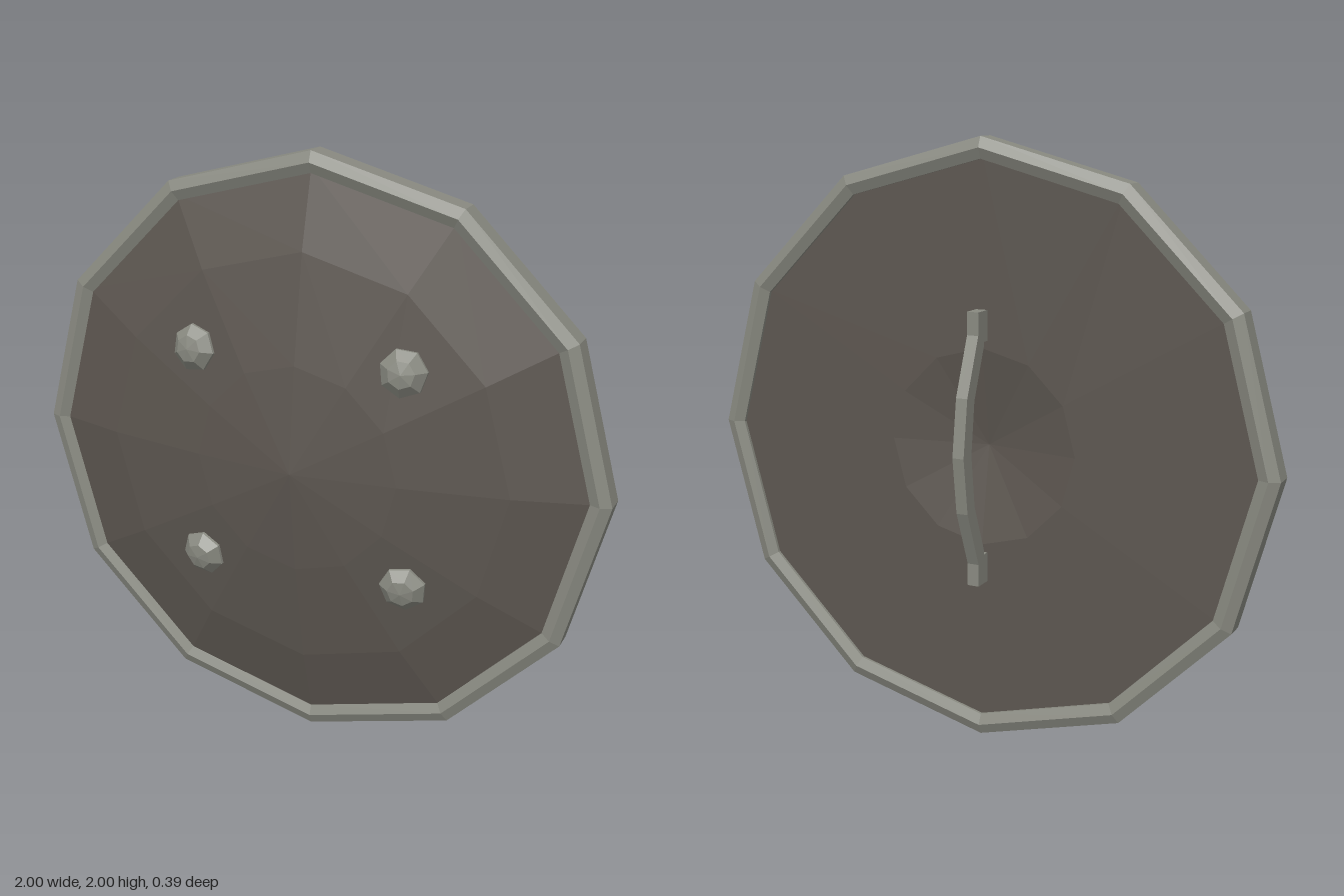
import * as THREE from 'three';

const wood = new THREE.MeshStandardMaterial({ color: 0x5c5650 });
wood.name = 'darkWood';
const metal = new THREE.MeshStandardMaterial({ color: 0x888980 });
metal.name = 'greyMetal';

// Faceted copy of a geometry
function faceted(geometry) {
  const flat = geometry.index ? geometry.toNonIndexed() : geometry;
  flat.computeVertexNormals();
  return flat;
}

// Revolve [radius, z] points around the z axis
function turned(points, sides) {
  const profile = points.map(([r, z]) => new THREE.Vector2(r, z));
  return faceted(new THREE.LatheGeometry(profile, sides).rotateX(Math.PI / 2));
}

function addMesh(parent, name, geometry, material) {
  const mesh = new THREE.Mesh(geometry, material);
  mesh.name = name;
  parent.add(mesh);
  return mesh;
}

export function createModel() {
  const shield = new THREE.Group();
  shield.name = 'shield';
  shield.position.y = 1;

  // Domed board with a shallow dent behind the hand grip
  addMesh(shield, 'board', turned([
    [0, 0.03], [0.33, -0.025], [0.95, -0.025], [0.95, 0.03],
    [0.7, 0.1], [0.35, 0.16], [0, 0.2],
  ], 12), wood);

  // Bevelled metal rim
  addMesh(shield, 'rim', turned([
    [0.93, -0.035], [0.965, -0.05], [1, -0.035], [1, 0.035],
    [0.965, 0.05], [0.93, 0.035], [0.93, -0.035],
  ], 12), metal);

  // Four studs, turned a quarter each and tilted to the dome
  const studGeometry = turned([[0.08, -0.015], [0.078, 0.005], [0.045, 0.034], [0, 0.042]], 7);
  for (let i = 0; i < 4; i++) {
    const arm = new THREE.Group();
    arm.name = 'studArm' + (i + 1);
    arm.rotation.z = Math.PI / 4 + 0.02 + i * Math.PI / 2;
    const stud = addMesh(arm, 'stud' + (i + 1), studGeometry, metal);
    stud.position.set(0.512, 0, 0.133);
    stud.rotation.y = 0.17;
    shield.add(arm);
  }

  // Bowed grip: side outline in (z, y), mirrored top to bottom
  const outer = [[-0.09, 0.455], [-0.09, 0.38], [-0.168, 0.19], [-0.195, 0]];
  const inner = [[-0.14, 0], [-0.118, 0.175], [-0.048, 0.345], [-0.048, 0.455]];
  const mirrored = (list) => list.map(([z, y]) => [z, -y]).reverse();
  const outline = [...outer, ...mirrored(outer).slice(1), ...mirrored(inner), ...inner.slice(1)];
  // Shape x is -z so that a quarter turn lays it in the side plane
  const shape = new THREE.Shape(outline.map(([z, y]) => new THREE.Vector2(-z, y)));
  const grip = new THREE.ExtrudeGeometry(shape, { depth: 0.04, bevelEnabled: false });
  grip.translate(0, 0, -0.02).rotateY(Math.PI / 2);
  addMesh(shield, 'grip', faceted(grip), metal);

  // Feet joining the grip to the board
  for (const side of [1, -1]) {
    const foot = addMesh(shield, side > 0 ? 'upperGripFoot' : 'lowerGripFoot',
      new THREE.BoxGeometry(0.04, 0.1, 0.03), metal);
    foot.position.set(0, side * 0.405, -0.036);
  }

  const model = new THREE.Group();
  model.name = 'roundShield';
  model.add(shield);
  return model;
}
